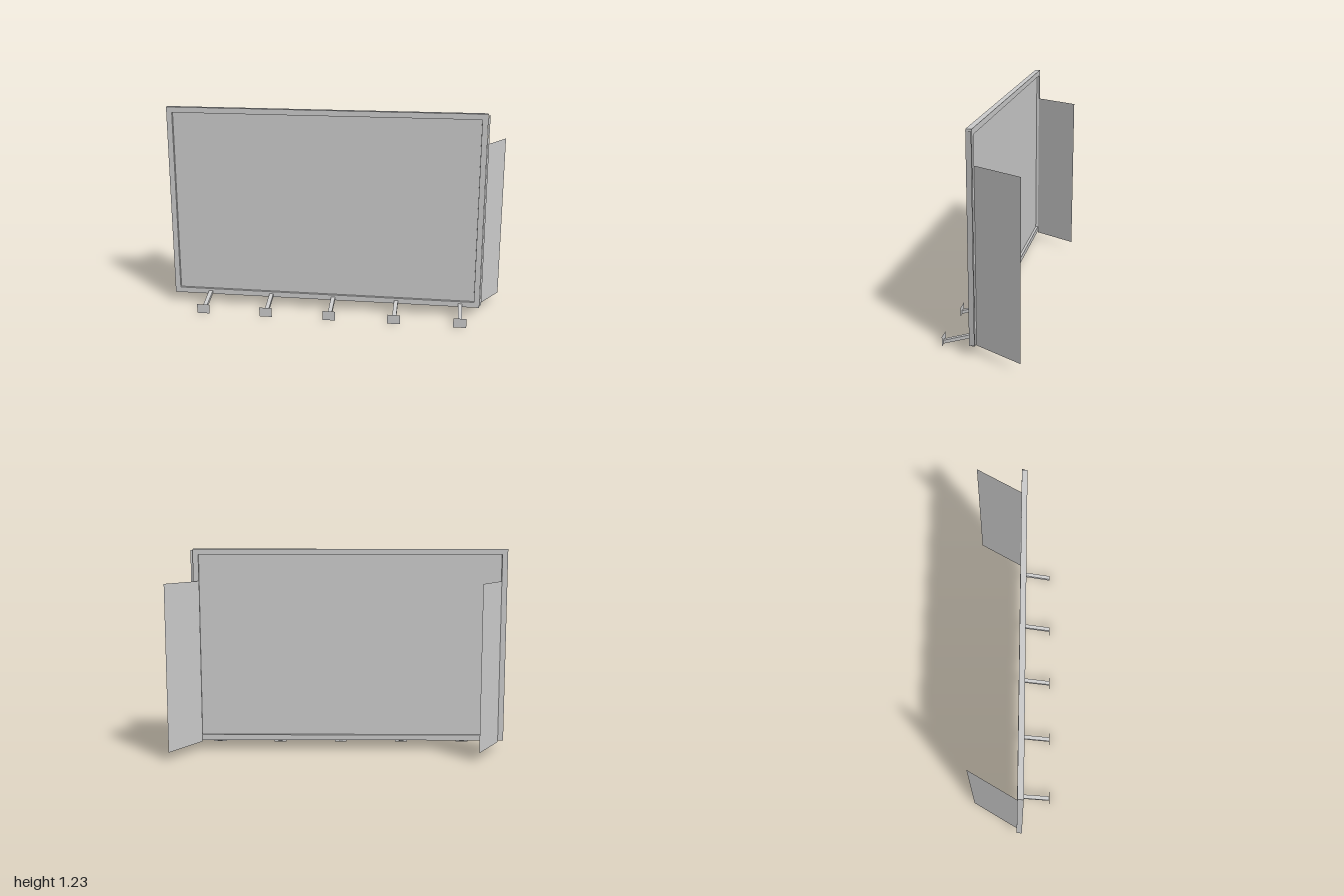
import * as THREE from 'three';

const grey = new THREE.MeshStandardMaterial({ color: 0xcccccc, side: THREE.DoubleSide });
grey.name = 'plain grey';

function part(name, geometry, parent) {
  const mesh = new THREE.Mesh(geometry, grey);
  mesh.name = name;
  parent.add(mesh);
  return mesh;
}

function rectangle(PathType, x0, y0, x1, y1) {
  const path = new PathType();
  path.moveTo(x0, y0);
  path.lineTo(x1, y0);
  path.lineTo(x1, y1);
  path.lineTo(x0, y1);
  path.closePath();
  return path;
}

// Upright sheet standing between two points of the floor plan
function uprightSheet(name, [xa, za], [xb, zb], y0, y1, parent) {
  const sheet = part(name, new THREE.PlaneGeometry(Math.hypot(xb - xa, zb - za), y1 - y0), parent);
  sheet.position.set((xa + xb) / 2, (y0 + y1) / 2, (za + zb) / 2);
  sheet.rotation.y = -Math.atan2(zb - za, xb - xa);
}

export function createModel() {
  const board = new THREE.Group();
  board.name = 'billboard';

  const left = 0.88, right = -1, bottom = 0.06, top = 1.227;
  const back = 0.033, front = 0.065, border = 0.033;

  // Frame with the opening cut out
  const outline = rectangle(THREE.Shape, right, bottom, left, top);
  outline.holes.push(rectangle(THREE.Path, right + border, bottom + border, left - border, top - border));
  const frame = new THREE.ExtrudeGeometry(outline, { depth: front - back, bevelEnabled: false });
  frame.translate(0, 0, back);
  part('frame', frame, board);

  // Thin panel halfway through the frame
  const midZ = (front + back) / 2;
  uprightSheet('panel', [right + border, midZ], [left - border, midZ], bottom + border, top - border, board);

  // Slim slanted cover on the left edge
  uprightSheet('edgeCover', [left + 0.001, front], [left + 0.012, back], bottom + 0.008, top - 0.008, board);

  // Slanted rear wings
  uprightSheet('leftWing', [0.847, back], [1, -0.235], 0.05, 1.035, board);
  uprightSheet('rightWing', [-0.967, back], [-0.814, -0.235], 0.05, 1.035, board);

  // Sloping lamp arms, each with a small end plate
  const side = new THREE.Shape();
  side.moveTo(front, 0.06);
  side.lineTo(0.237, 0.005);
  side.lineTo(0.237, 0.025);
  side.lineTo(front, 0.08);
  side.closePath();
  const armWidth = 0.024;
  const armGeometry = new THREE.ExtrudeGeometry(side, { depth: armWidth, bevelEnabled: false });
  armGeometry.translate(0, 0, -armWidth / 2);
  armGeometry.rotateY(-Math.PI / 2);

  for (let i = 0; i < 5; i++) {
    const lamp = new THREE.Group();
    lamp.name = 'lamp';
    lamp.position.x = -0.773 + i * 0.385;
    part('lampArm', armGeometry, lamp);
    uprightSheet('lampPlate', [-0.038, 0.237], [0.038, 0.237], 0, 0.056, lamp);
    board.add(lamp);
  }
  return board;
}
